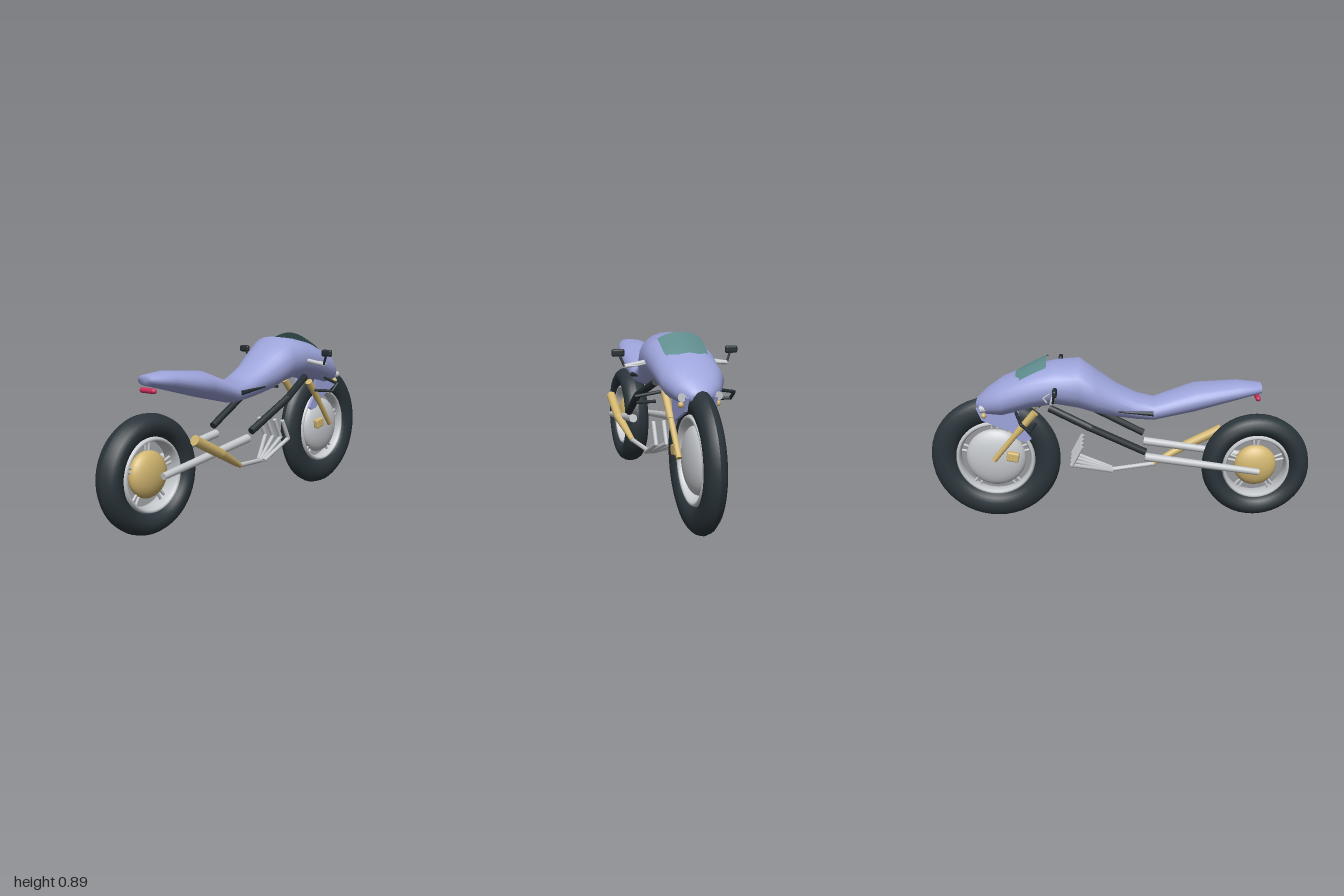
import * as THREE from 'three';
import { RoundedBoxGeometry } from 'three/addons/geometries/RoundedBoxGeometry.js';

const mat = (name, color, side = THREE.FrontSide) => {
  const m = new THREE.MeshStandardMaterial({ color, side });
  m.name = name;
  return m;
};

export function createModel() {
  const lavender = mat('lavender paint', 0x9da4da);
  const rubber = mat('dark rubber', 0x2a343a);
  const black = mat('black metal', 0x262e33);
  const silver = mat('silver', 0xc6c9cd);
  const gold = mat('gold', 0xd2b670);
  const teal = mat('tinted screen', 0x5f8c8e, THREE.DoubleSide);
  const red = mat('red lens', 0xcc2f5c);

  const model = new THREE.Group();
  model.name = 'motorcycle';
  const V = (p) => new THREE.Vector3(...p);

  function add(name, geometry, material, parent = model) {
    const m = new THREE.Mesh(geometry, material);
    m.name = name;
    parent.add(m);
    return m;
  }
  // Tapered round bar between two points
  function bar(name, a, b, r0, r1, material, parent = model, sides = 12) {
    const d = V(b).sub(V(a));
    const m = add(name, new THREE.CylinderGeometry(r1, r0, d.length(), sides), material, parent);
    m.position.copy(V(a)).addScaledVector(d, 0.5);
    m.quaternion.setFromUnitVectors(new THREE.Vector3(0, 1, 0), d.normalize());
    return m;
  }
  // Chain of straight bars with rounded joints
  function pipe(name, pts, r, material, parent = model) {
    const g = new THREE.Group();
    g.name = name;
    parent.add(g);
    for (let i = 0; i < pts.length - 1; i++) {
      bar(name + 'Section', pts[i], pts[i + 1], r, r, material, g, 10);
      if (i) add(name + 'Joint', new THREE.SphereGeometry(r, 10, 8), material, g).position.set(...pts[i]);
    }
    return g;
  }
  // Loft of rounded cross-sections: [z, bottom, top, half width]
  function loft(sections, sides = 24) {
    const pos = [], idx = [];
    const pw = (v, e) => Math.sign(v) * Math.abs(v) ** e;
    sections.forEach(([z, lo, hi, w]) => {
      for (let j = 0; j < sides; j++) {
        const a = (j / sides) * Math.PI * 2;
        pos.push(w * pw(Math.cos(a), 0.88), (lo + hi) / 2 + ((hi - lo) / 2) * pw(Math.sin(a), 0.95), z);
      }
    });
    for (let i = 0; i < sections.length - 1; i++)
      for (let j = 0; j < sides; j++) {
        const a = i * sides + j, b = i * sides + ((j + 1) % sides);
        idx.push(a, a + sides, b, b, a + sides, b + sides);
      }
    const g = new THREE.BufferGeometry();
    g.setAttribute('position', new THREE.Float32BufferAttribute(pos, 3));
    g.setIndex(idx);
    g.computeVertexNormals();
    return g;
  }

  // Wheels: elliptical tyre, rim, spokes and domed hub
  function wheel(name, z, y, rMid, rHalf, half, hubR, hubMat) {
    const g = new THREE.Group();
    g.name = name;
    g.position.set(0, y, z);
    model.add(g);
    const ring = (part, r, dr, dx, material, n) => {
      const pts = [];
      for (let i = 0; i <= n; i++) {
        const a = (i / n) * Math.PI * 2;
        pts.push(new THREE.Vector2(r + Math.cos(a) * dr, Math.sin(a) * dx));
      }
      add(part, new THREE.LatheGeometry(pts, 48), material, g).rotation.z = Math.PI / 2;
    };
    ring('tyre', rMid, rHalf, half, rubber, 14);
    const rim = rMid - rHalf;
    ring('rim', rim - 0.005, 0.014, half * 0.72, silver, 12);
    const hub = add('hub', new THREE.SphereGeometry(hubR, 32, 16), hubMat, g);
    hub.scale.x = 0.055 / hubR;
    for (let i = 0; i < 5; i++)
      for (const off of [-0.09, 0.09]) {
        const a = Math.PI / 2 + (i / 5) * Math.PI * 2 + off;
        const c = Math.cos(a), s = Math.sin(a);
        bar('spoke', [0, s * 0.04, c * 0.04], [0, s * rim, c * rim], 0.007, 0.007, silver, g, 8);
      }
  }
  wheel('rearWheel', 0.718, 0.285, 0.229, 0.056, 0.068, 0.113, gold);
  wheel('frontWheel', -0.657, 0.34, 0.271, 0.069, 0.05, 0.158, silver);

  // Bodywork from tail to nose
  add('body', loft([
    [0.72, 0.72, 0.725, 0.002], [0.72, 0.695, 0.745, 0.05], [0.6, 0.665, 0.756, 0.085],
    [0.38, 0.608, 0.74, 0.12], [0.17, 0.56, 0.665, 0.102], [0.08, 0.565, 0.69, 0.102],
    [-0.02, 0.578, 0.742, 0.112], [-0.12, 0.6, 0.812, 0.138], [-0.21, 0.63, 0.877, 0.156],
    [-0.33, 0.655, 0.865, 0.158], [-0.45, 0.635, 0.84, 0.157], [-0.6, 0.595, 0.78, 0.147],
    [-0.68, 0.595, 0.725, 0.105], [-0.735, 0.615, 0.675, 0.05], [-0.745, 0.64, 0.645, 0.002],
  ]), lavender);

  // Tinted screen, arched across its width
  const screen = new THREE.PlaneGeometry(0.21, 1, 10, 6);
  const sp = screen.attributes.position;
  for (let i = 0; i < sp.count; i++) {
    const x = sp.getX(i), t = sp.getY(i) + 0.5;
    const taper = 1 - 0.12 * Math.max(0, t - 0.7) / 0.3;
    sp.setXYZ(i, x * taper, 0.892 - 0.065 * t - 0.015 * t * t - 2.6 * x * x, -0.37 - 0.16 * t);
  }
  screen.computeVertexNormals();
  add('windscreen', screen, teal);

  // Tail light
  const lamp = add('tailLight', new THREE.CapsuleGeometry(0.013, 0.076, 6, 14), red);
  lamp.rotation.z = Math.PI / 2;
  lamp.position.set(0, 0.672, 0.705);

  // Side panel outline in (z, y), lower fairing
  const panel = new THREE.Shape([
    [-0.46, 0.47], [-0.49, 0.455], [-0.53, 0.465], [-0.56, 0.51], [-0.62, 0.535], [-0.71, 0.575],
    [-0.735, 0.64], [-0.6, 0.66], [-0.52, 0.62], [-0.51, 0.54],
  ].map(([z, y]) => new THREE.Vector2(-z, y)));

  // Paired parts on both sides
  for (const s of [1, -1]) {
    const side = new THREE.Group();
    side.name = s > 0 ? 'leftParts' : 'rightParts';
    model.add(side);
    const P = (...pts) => pts.map(([x, y, z]) => [x * s, y, z]);

    const fairing = add('lowerFairing', new THREE.ExtrudeGeometry(panel, { depth: 0.015, bevelEnabled: false }), lavender, side);
    fairing.rotation.y = Math.PI / 2;
    fairing.position.x = s * 0.066 - 0.0075;

    pipe('frameRail', P([0.11, 0.655, -0.36], [0.148, 0.56, -0.15], [0.13, 0.42, 0.125]), 0.019, black, side);
    const [a0, a1] = P([0.105, 0.29, 0.72], [0.107, 0.382, 0.125]);
    bar('swingArm', a0, a1, 0.017, 0.022, silver, side, 14);

    const [f0, f1, f2] = P([0.085, 0.62, -0.435], [0.083, 0.51, -0.53], [0.08, 0.355, -0.657]);
    bar('forkUpper', f0, f1, 0.02, 0.018, gold, side);
    bar('forkLower', f1, f2, 0.015, 0.014, gold, side);
    const caliper = add('brakeCaliper', new RoundedBoxGeometry(0.03, 0.05, 0.065, 2, 0.008), gold, side);
    caliper.position.set(s * 0.07, 0.37, -0.56);
    caliper.rotation.x = 0.2;

    // Handlebar, lever and mirror
    const [h0, h1] = P([0.13, 0.752, -0.325], [0.255, 0.732, -0.335]);
    bar('handlebar', h0, h1, 0.012, 0.011, silver, side);
    pipe('lever', P([0.15, 0.745, -0.35], [0.205, 0.74, -0.38], [0.25, 0.735, -0.36]), 0.004, silver, side);
    const [m0, m1] = P([0.255, 0.732, -0.33], [0.278, 0.79, -0.32]);
    bar('mirrorStalk', m0, m1, 0.006, 0.006, black, side, 8);
    const mirror = add('mirror', new RoundedBoxGeometry(0.062, 0.036, 0.022, 3, 0.01), black, side);
    mirror.position.set(s * 0.282, 0.795, -0.318);

    // Looped bracket beside the fork
    pipe('sideBracket', P([0.13, 0.638, -0.525], [0.238, 0.615, -0.49], [0.234, 0.578, -0.45], [0.13, 0.576, -0.43]), 0.008, black, side);

    // Dark trim below the seat
    const [t0, t1] = P([0.1, 0.616, 0.165], [0.113, 0.633, -0.01]);
    bar('seatTrim', t0, t1, 0.013, 0.004, black, side, 8);

    // Nose lamps
    const [l0, l1] = P([0.075, 0.64, -0.665], [0.085, 0.64, -0.715]);
    bar('noseLamp', l0, l1, 0.016, 0.019, silver, side);
    const indicator = add('indicator', new THREE.SphereGeometry(0.014, 12, 8), gold, side);
    indicator.position.set(s * 0.085, 0.605, -0.695);
  }

  // Exhaust: four headers joining into one pipe and a silencer
  for (const x of [-0.08, -0.027, 0.027, 0.08])
    pipe('exhaustHeader', [[x, 0.43, -0.2], [x, 0.325, -0.255], [0.06 + x * 0.25, 0.235, -0.045]], 0.011, silver);
  pipe('exhaustPipe', [[0.06, 0.235, -0.045], [0.1, 0.25, 0.19]], 0.012, silver);
  bar('silencerFront', [0.1, 0.25, 0.18], [0.137, 0.345, 0.365], 0.014, 0.025, gold);
  add('silencerJoint', new THREE.SphereGeometry(0.025, 14, 10), gold).position.set(0.137, 0.345, 0.365);
  bar('silencerRear', [0.137, 0.345, 0.365], [0.141, 0.437, 0.55], 0.025, 0.026, gold);

  return model;
}
